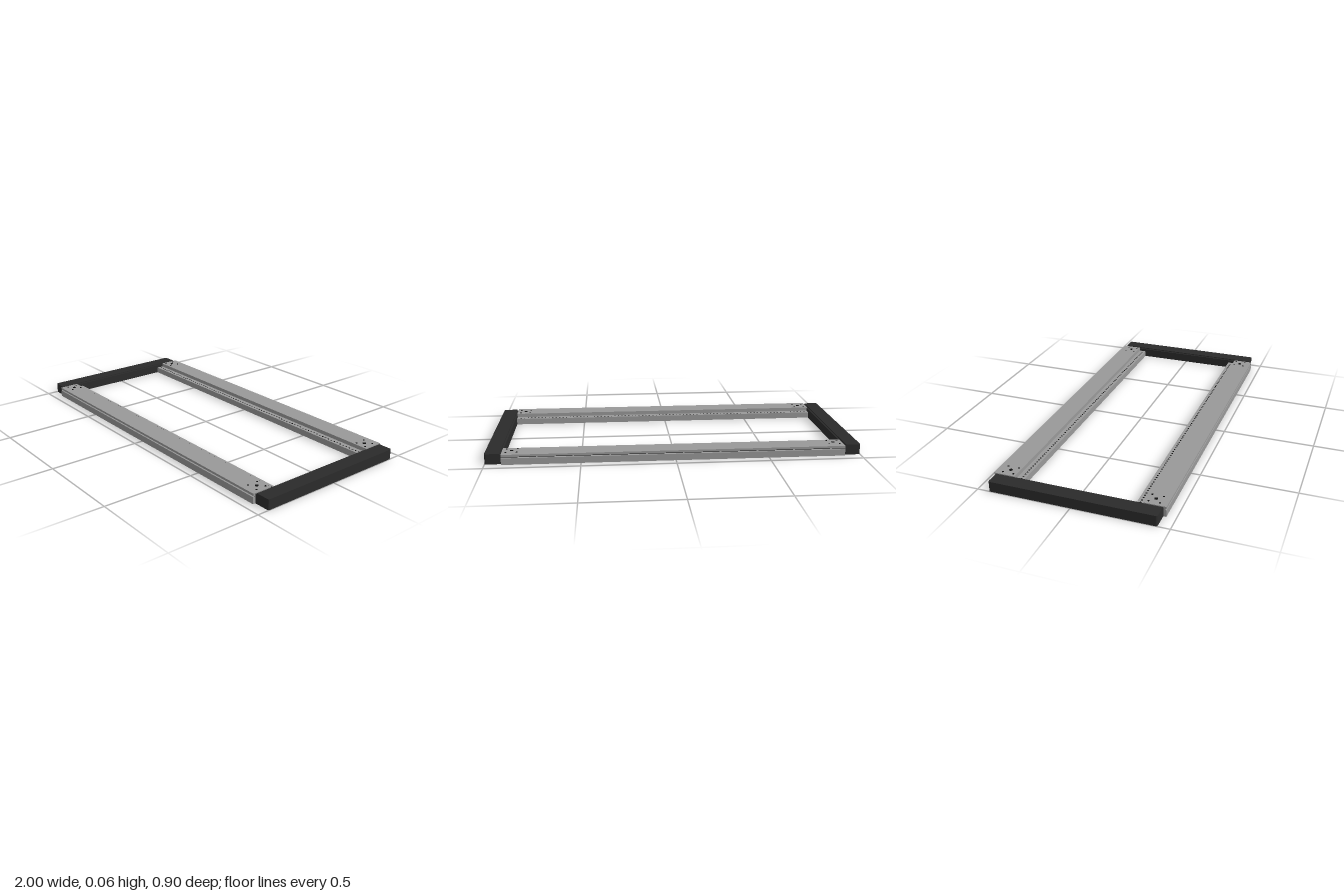
import * as THREE from 'three';

const mat = (name, color) => Object.assign(new THREE.MeshStandardMaterial({ color }), { name });

export function createModel() {
  const grey = mat('aluminium grey', 0x999999);
  const dark = mat('charcoal', 0x2b2b2b);
  const black = mat('hole black', 0x101010);
  const root = new THREE.Group();
  root.name = 'rackFrame';

  const add = (parent, geo, material, name, x = 0, y = 0, z = 0) => {
    const m = new THREE.Mesh(geo, material);
    m.name = name;
    m.position.set(x, y, z);
    parent.add(m);
    return m;
  };

  // Rail cross-section (z, y): tall plate, grooved outer face, low inner lip
  const L = 1.826;
  const profile = new THREE.Shape([
    [0.297, 0], [0.452, 0], [0.452, 0.036], [0.444, 0.038], [0.444, 0.041], [0.452, 0.043],
    [0.452, 0.055], [0.339, 0.055], [0.339, 0.034], [0.297, 0.034],
  ].map(([z, y]) => new THREE.Vector2(z, y)));
  const railGeo = new THREE.ExtrudeGeometry(profile, { depth: L, bevelEnabled: false });
  railGeo.translate(0, 0, -L / 2).rotateY(-Math.PI / 2);

  const bigScrew = new THREE.CylinderGeometry(0.009, 0.009, 0.003, 16);
  const smallScrew = new THREE.CylinderGeometry(0.005, 0.005, 0.003, 10);
  const holeGeo = new THREE.CylinderGeometry(0.0045, 0.0045, 0.001, 8);
  const holes = 84;

  for (const side of [1, -1]) {
    const rail = new THREE.Group();
    rail.name = side > 0 ? 'frontRail' : 'backRail';
    if (side < 0) rail.rotation.y = Math.PI;
    root.add(rail);
    add(rail, railGeo, grey, 'railProfile');
    // shadow line at the bottom of the outer groove
    add(rail, new THREE.BoxGeometry(L, 0.003, 0.001), black, 'grooveLine', 0, 0.0395, 0.4442);
    // row of threaded holes along the lip
    for (let i = 0; i < holes; i++) {
      add(rail, holeGeo, black, 'threadedHole', (i - (holes - 1) / 2) * (L - 0.03) / holes, 0.0342, 0.315);
    }
    // five-point screw pattern at each end
    for (const x of [-0.863, 0.863]) {
      add(rail, bigScrew, black, 'centreScrew', x, 0.0555, 0.385);
      for (const dx of [-0.029, 0.029]) for (const dz of [-0.029, 0.029]) {
        add(rail, smallScrew, black, 'cornerScrew', x + dx, 0.0555, 0.385 + dz);
      }
    }
  }

  // End bars with softly rounded outer corners
  const x0 = 0.921, x1 = 1, h = 0.437, r = 0.01;
  const plan = new THREE.Shape();
  plan.moveTo(x0, -h);
  plan.lineTo(x1 - r, -h);
  plan.quadraticCurveTo(x1, -h, x1, -h + r);
  plan.lineTo(x1, h - r);
  plan.quadraticCurveTo(x1, h, x1 - r, h);
  plan.lineTo(x0, h);
  plan.closePath();
  const barGeo = new THREE.ExtrudeGeometry(plan, { depth: 0.056, bevelEnabled: false, curveSegments: 5 });
  barGeo.rotateX(-Math.PI / 2);

  for (const side of [1, -1]) {
    const bar = new THREE.Group();
    bar.name = side > 0 ? 'leftEndBar' : 'rightEndBar';
    if (side < 0) bar.rotation.y = Math.PI;
    root.add(bar);
    add(bar, barGeo, dark, 'barBody');
    // slightly lower inner flange butting against the rails
    add(bar, new THREE.BoxGeometry(0.012, 0.05, 2 * h), dark, 'barFlange', 0.917, 0.025, 0);
  }
  return root;
}
